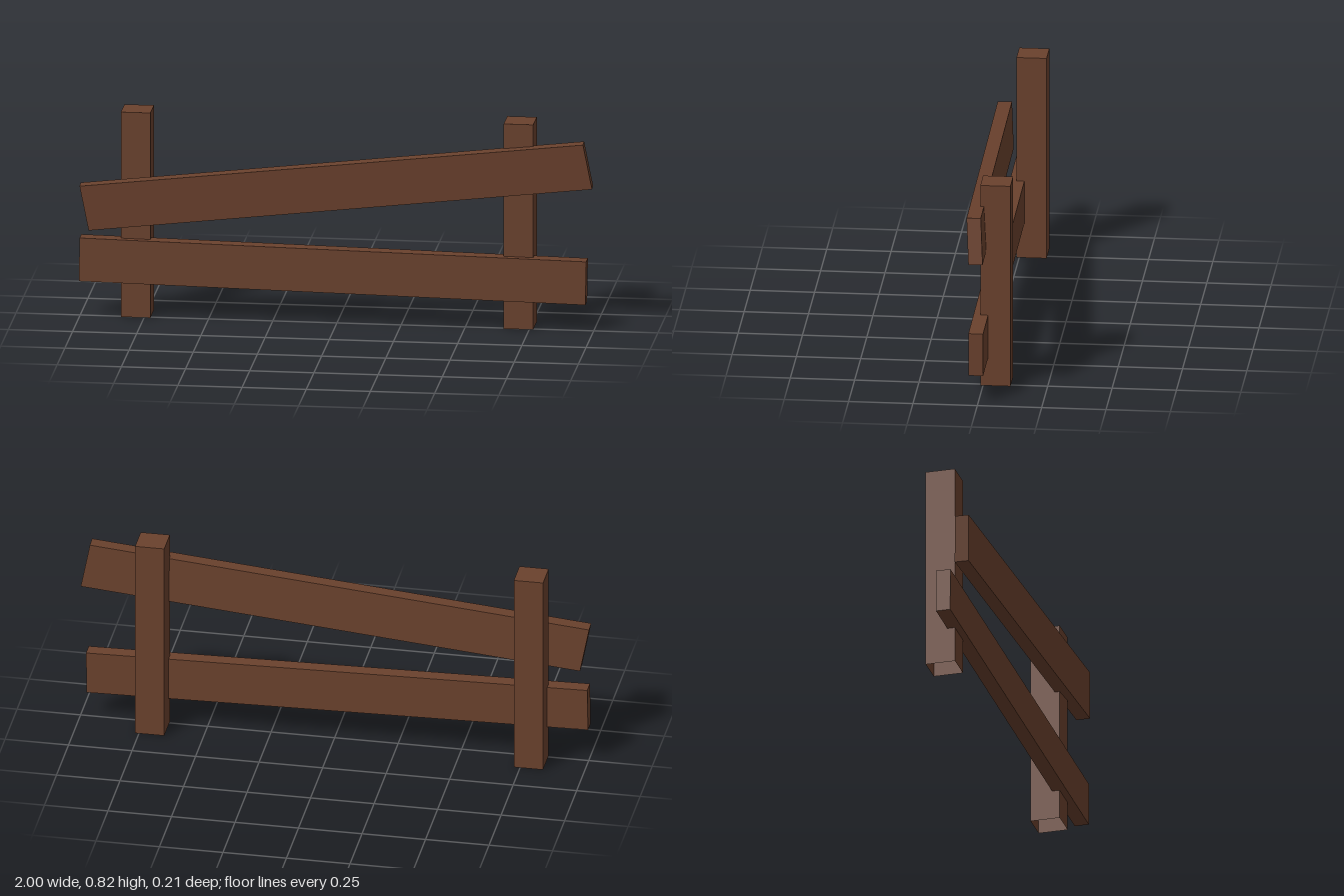
import * as THREE from 'three';

const wood = new THREE.MeshStandardMaterial({ color: 0x6a412d, side: THREE.DoubleSide });
wood.name = 'brown wood';

// Slanted plank: a unit box stretched along its length, height and thickness vectors
function plank(name, centre, length, height, thickness) {
  const v = (a) => new THREE.Vector3(...a);
  const matrix = new THREE.Matrix4()
    .makeBasis(v(length), v(height), v(thickness))
    .setPosition(...centre);
  const mesh = new THREE.Mesh(new THREE.BoxGeometry(1, 1, 1).applyMatrix4(matrix), wood);
  mesh.name = name;
  return mesh;
}

// Square post without an underside
function post(name, x) {
  const geometry = new THREE.BoxGeometry(0.115, 0.82, 0.117);
  const index = Array.from(geometry.index.array);
  index.splice(18, 6);
  geometry.setIndex(index);
  geometry.clearGroups();
  const mesh = new THREE.Mesh(geometry, wood);
  mesh.name = name;
  mesh.position.set(x, 0.41, -0.048);
  return mesh;
}

export function createModel() {
  const fence = new THREE.Group();
  fence.name = 'fence';

  // Uprights
  fence.add(post('rightPost', -0.783), post('leftPost', 0.708));

  // Rails: the lower one nearly level, the upper one hanging loose at one end
  fence.add(
    plank('lowerRail', [-0.013, 0.215, 0.0085], [1.973, -0.033, 0], [0.003, 0.173, 0], [0, 0, 0.057]),
    plank('upperRail', [0.003, 0.56, 0.044], [1.953, 0.21, -0.063], [-0.034, 0.179, 0.01], [0.002, 0, 0.055])
  );
  return fence;
}
